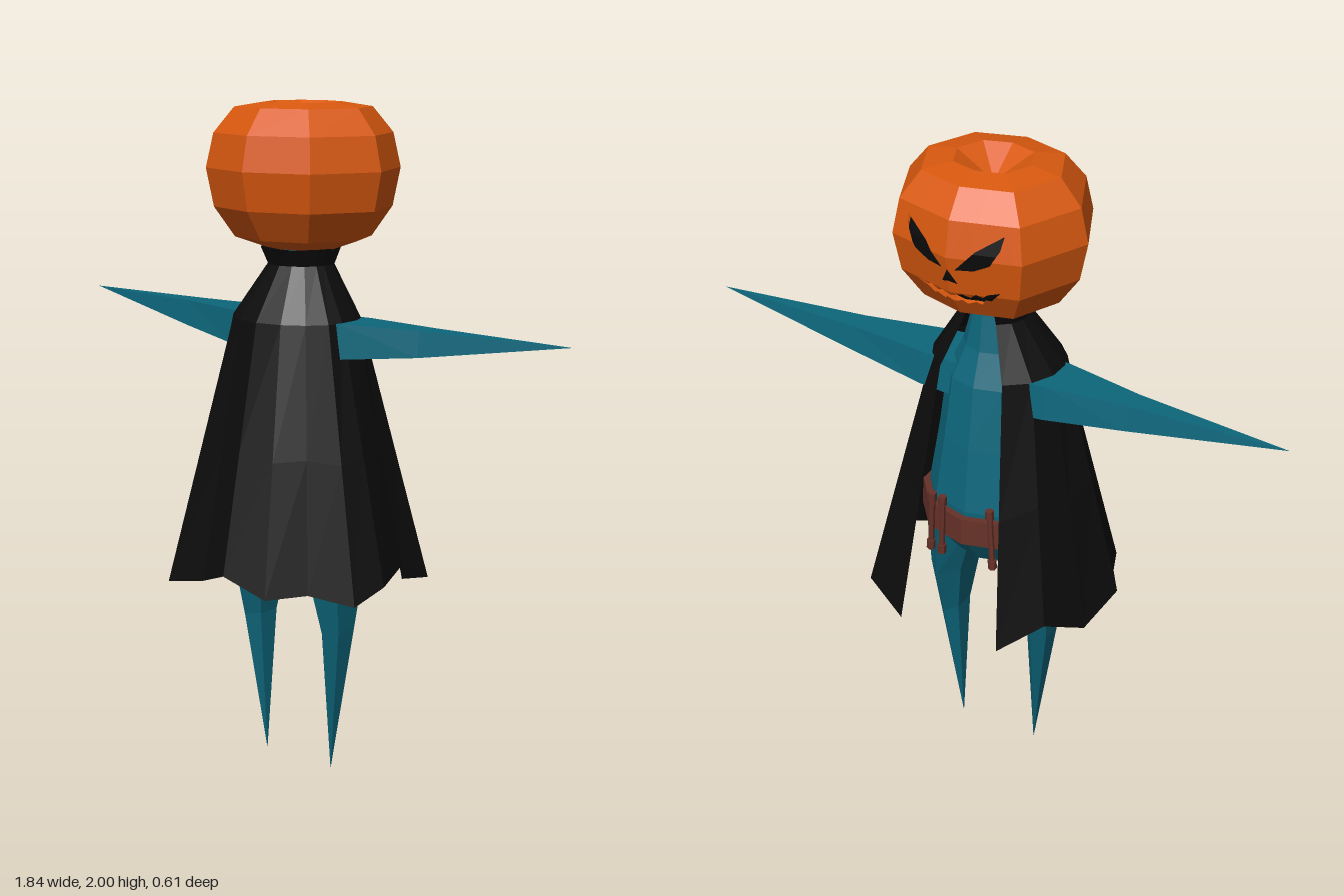
import * as THREE from 'three';

const material = (color, side = THREE.FrontSide) =>
  new THREE.MeshStandardMaterial({ color, side, flatShading: true, roughness: 0.9 });
const V = (x, y, z) => new THREE.Vector3(x, y, z);

// Flat-shaded geometry from a list of corner triples
function facets(points) {
  const kept = [];
  for (let i = 0; i < points.length; i += 3) {
    const [a, b, c] = points.slice(i, i + 3);
    if (new THREE.Triangle(a, b, c).getArea() > 1e-8) kept.push(a, b, c);
  }
  const geometry = new THREE.BufferGeometry().setFromPoints(kept);
  geometry.computeVertexNormals();
  return geometry;
}

// Skin a series of cross-sections; skip(band, side) leaves openings
function loft(rings, closed = true, skip = () => false) {
  const out = [], n = rings[0].length;
  for (let j = 0; j < rings.length - 1; j++) {
    for (let i = 0; i < (closed ? n : n - 1); i++) {
      if (skip(j, i)) continue;
      const k = (i + 1) % n;
      const a = rings[j][i], b = rings[j][k], c = rings[j + 1][k], d = rings[j + 1][i];
      out.push(a, b, c, a, c, d);
    }
  }
  return facets(out);
}
const mirror = rings => rings.map(r => r.map(p => V(-p.x, p.y, p.z)).reverse());
const ellipse = (n, cx, y, cz, rx, rz) => Array.from({ length: n }, (_, i) => {
  const a = (i / n) * Math.PI * 2;
  return V(cx + rx * Math.sin(a), y, cz + rz * Math.cos(a));
});

// Pumpkin profile [radius, height] and the eight rib directions
const CZ = -0.05;
const PROFILE = [[0, 1.6], [0.112, 1.582], [0.205, 1.613], [0.267, 1.7], [0.29, 1.812],
  [0.267, 1.912], [0.205, 1.986], [0.115, 2.0], [0, 1.93]];
const DIAG = 0.69, RIDGE = 0.88;
const RIBS = [[0, 0.9], [DIAG, DIAG], [1, 0], [DIAG, -DIAG], [0, -RIDGE], [-DIAG, -DIAG], [-1, 0], [-DIAG, DIAG]];
const headRings = s => PROFILE.map(([r, y]) =>
  RIBS.map(([x, z]) => V(x * r * s, 1.8 + (y - 1.8) * s, CZ + z * r * s)));

// Keep the part of a convex polygon on one side of a height
function clip(poly, y, sign) {
  const out = [];
  poly.forEach((p, i) => {
    const q = poly[(i + 1) % poly.length];
    const dp = (p.y - y) * sign, dq = (q.y - y) * sign;
    if (dp >= 0) out.push(p);
    if (dp * dq < 0) out.push(p.clone().lerp(q, dp / (dp - dq)));
  });
  return out;
}

// Half of the carved face, folded onto the pumpkin's ribs
function facePanel(side) {
  const outer = PROFILE.slice(1, 8);
  const pts = list => list.map(([x, y]) => new THREE.Vector2(x, y));
  const shape = new THREE.Shape(pts([
    [0, outer[0][1]],
    // mouth
    [0, 1.664], [0.025, 1.672], [0.035, 1.658], [0.06, 1.67], [0.075, 1.662], [0.09, 1.684], [0.105, 1.682],
    [0.135, 1.715], [0.1, 1.705], [0.085, 1.692], [0.07, 1.702], [0.05, 1.686], [0.03, 1.698], [0, 1.688],
    // nose
    [0, 1.738], [0.024, 1.73], [0, 1.775],
    ...outer.map(([r, y]) => [r * DIAG, y]).reverse(),
  ].flatMap((p, i, all) => (i === 17 ? [p, [0, outer[6][1]]] : [p]))));
  // eye
  shape.holes.push(new THREE.Path(pts([[0.02, 1.775], [0.07, 1.778], [0.115, 1.8], [0.14, 1.845], [0.148, 1.885], [0.075, 1.835]])));
  const geo = new THREE.ShapeGeometry(shape);
  const pos = geo.attributes.position, index = geo.index.array, out = [];
  for (let t = 0; t < index.length; t += 3) {
    const tri = [0, 1, 2].map(k => new THREE.Vector3().fromBufferAttribute(pos, index[t + k]));
    for (let b = 0; b < 6; b++) {
      const [r0, y0] = outer[b], [r1, y1] = outer[b + 1];
      const poly = clip(clip(tri, y0, 1), y1, -1).map(p => {
        const r = r0 + (r1 - r0) * (p.y - y0) / (y1 - y0);
        return V(side * p.x, p.y, CZ - r * RIDGE + p.x * (RIDGE - DIAG) / DIAG);
      });
      for (let i = 1; i < poly.length - 1; i++) {
        if (side > 0) out.push(poly[0], poly[i + 1], poly[i]);
        else out.push(poly[0], poly[i], poly[i + 1]);
      }
    }
  }
  return facets(out);
}

export function createModel() {
  const model = new THREE.Group();
  model.name = 'pumpkinScarecrow';
  const orange = material(0xd9590f, THREE.DoubleSide);
  const teal = material(0x0d667b);
  const black = material(0x0c0c0c);
  const cloth = material(0x0c0c0c, THREE.DoubleSide);
  const brown = material(0x663128);
  const add = (name, geometry, mat, parent = model) => {
    const mesh = new THREE.Mesh(geometry, mat);
    mesh.name = name;
    parent.add(mesh);
    return mesh;
  };

  // Head: ribbed shell, carved face, dark inside
  const head = new THREE.Group();
  head.name = 'head';
  model.add(head);
  add('pumpkinShell', loft(headRings(1), true, (j, i) => j > 0 && j < 7 && (i === 3 || i === 4)), orange, head);
  add('carvedFaceLeft', facePanel(1), orange, head);
  add('carvedFaceRight', facePanel(-1), orange, head);
  add('darkInside', loft(headRings(0.85)), black, head);

  // Body: hips up to the neck [height, half width, half depth]
  const body = [[0.7, 0, 0], [0.74, 0.12, 0.1], [0.83, 0.21, 0.165], [0.95, 0.2, 0.175],
    [1.15, 0.165, 0.15], [1.34, 0.14, 0.12], [1.44, 0.09, 0.085], [1.6, 0.045, 0.06]];
  add('body', loft(body.map(([y, rx, rz]) => ellipse(10, 0, y, CZ, rx, rz))), teal);

  // Legs: wide thighs down to a spike
  const leg = [[0, 0.13, 0, 0], [0.45, 0.156, 0.038, 0.072], [0.62, 0.15, 0.06, 0.122],
    [0.84, 0.12, 0.1, 0.155], [0.9, 0.11, 0, 0]]
    .map(([y, x, rx, rz]) => ellipse(6, x, y, -0.03, rx, rz));
  add('leftLeg', loft(leg), teal);
  add('rightLeg', loft(mirror(leg)), teal);

  // Arms: four-sided spikes [x, bottom, top, back, front]
  const arm = [[0.08, 1.275, 1.38, -0.14, 0.05], [0.2, 1.28, 1.382, -0.135, 0.035],
    [0.45, 1.307, 1.382, -0.11, -0.018], [0.92, 1.38, 1.38, -0.085, -0.085]]
    .map(([x, b, t, back, front]) => [V(x, t, front - 0.01), V(x, b, front), V(x, b, back), V(x, t, back + 0.01)]);
  arm[3] = arm[3].map(() => V(0.92, 1.38, -0.085));
  add('leftArm', loft(arm), teal);
  add('rightArm', loft(mirror(arm)), teal);

  // Belt with sticks tucked in
  const belt = [[0.85, 0.19, 0.16], [0.85, 0.227, 0.197], [0.935, 0.222, 0.195], [0.935, 0.185, 0.16]];
  add('belt', loft(belt.map(([y, rx, rz]) => ellipse(10, 0, y, CZ, rx, rz))), brown);
  for (const x of [0.1, 0.062, -0.1]) {
    const stick = new THREE.Group();
    stick.name = 'beltStick';
    stick.position.set(x, 0.9, -0.255 + Math.abs(x) * 0.1);
    stick.rotation.z = x * 0.5;
    add('stickShaft', new THREE.CylinderGeometry(0.009, 0.009, 0.18, 6), brown, stick);
    add('stickTop', new THREE.CylinderGeometry(0.013, 0.013, 0.03, 6), brown, stick).position.y = 0.085;
    add('stickEnd', new THREE.CylinderGeometry(0.013, 0.013, 0.03, 6), brown, stick).position.y = -0.085;
    model.add(stick);
  }

  // Cloak: ragged hem, shoulders, neck and collar, open on the face side
  const hem = [[0.18, 0.55, -0.305], [0.33, 0.6, -0.24], [0.325, 0.66, -0.12], [0.375, 0.635, 0.025],
    [0.345, 0.59, 0.12], [0.255, 0.63, 0.22], [0.13, 0.6, 0.265], [0, 0.655, 0.3], [-0.12, 0.61, 0.26],
    [-0.255, 0.585, 0.27], [-0.31, 0.62, 0.14], [-0.375, 0.635, 0.035], [-0.335, 0.57, -0.1],
    [-0.265, 0.63, -0.22], [-0.15, 0.55, -0.305]].map(p => V(...p));
  const collar = (y, cz, rx, rz) => hem.map(p => {
    const a = Math.atan2(p.x, p.z + 0.03);
    return V(rx * Math.sin(a), y, cz + rz * Math.cos(a));
  });
  const shoulder = collar(1.38, -0.02, 0.2, 0.175);
  const skirt = hem.map((p, i) => p.clone().lerp(shoulder[i], 0.5));
  const cloak = [hem, skirt, shoulder, collar(1.535, -0.04, 0.1, 0.095), collar(1.585, -0.04, 0.115, 0.122)];
  add('cloak', loft(cloak.map(r => r.slice().reverse()), false), cloth);

  return model;
}
